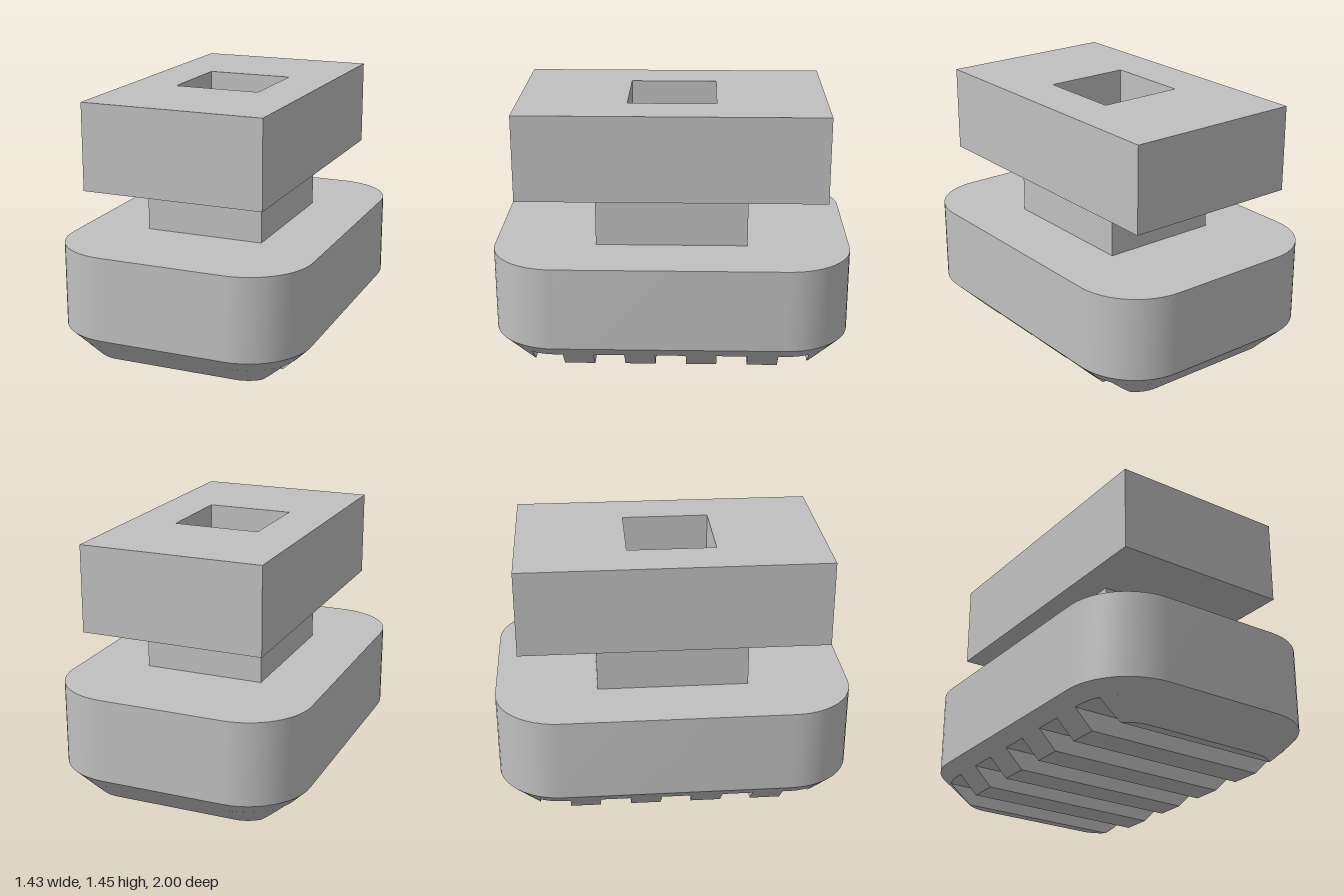
import * as THREE from 'three';
import { toCreasedNormals } from 'three/addons/utils/BufferGeometryUtils.js';

const HALF_X = 0.714, HALF_Z = 1, RADIUS = 0.36;
const CHAMFER_Y = 0.172, GROOVE_Y = 0.105, BODY_TOP = 0.645, NECK_TOP = 0.96, HEAD_TOP = 1.445;
const STEP = 0.1715; // width of one tooth or groove
const CX = HALF_X - RADIUS, CZ = HALF_Z - RADIUS;
const inset = (y) => Math.max(0, CHAMFER_Y - y); // 45 degree chamfer

// Joins convex horizontal rings of [x, z] points, listed from bottom to top
function loft(rings, heights) {
  const pos = [];
  const put = (r, i) => pos.push(rings[r][i][0], heights[r], rings[r][i][1]);
  const n = rings[0].length, last = rings.length - 1;
  for (let r = 0; r < last; r++) {
    for (let i = 0; i < n; i++) {
      const j = (i + 1) % n;
      put(r, i); put(r + 1, i); put(r, j);
      put(r, j); put(r + 1, i); put(r + 1, j);
    }
  }
  for (let i = 1; i < n - 1; i++) {
    put(0, 0); put(0, i); put(0, i + 1);
    put(last, 0); put(last, i + 1); put(last, i);
  }
  const geo = new THREE.BufferGeometry();
  geo.setAttribute('position', new THREE.Float32BufferAttribute(pos, 3));
  return toCreasedNormals(geo, Math.PI / 6);
}

// Arc around one corner of the rounded outline
function corner(sx, sz, radius, from, to, steps = 12) {
  return Array.from({ length: steps + 1 }, (_, i) => {
    const a = from + (to - from) * i / steps;
    return [sx * CX + radius * Math.cos(a), sz * CZ + radius * Math.sin(a)];
  });
}

function bodyRing(y) {
  const r = RADIUS - inset(y), q = Math.PI / 2;
  return [[1, 1], [-1, 1], [-1, -1], [1, -1]].flatMap(([sx, sz], k) => corner(sx, sz, r, k * q, (k + 1) * q));
}

// Part of the outline beyond the outermost groove
function endRing(y) {
  const r = RADIUS - inset(y), a = Math.asin((STEP * 4.5 - CZ) / r);
  return [...corner(1, 1, r, a, Math.PI / 2), ...corner(-1, 1, r, Math.PI / 2, Math.PI - a)];
}

function barRing(y, z0, z1) {
  const x = HALF_X - inset(y);
  return [[x, z0], [x, z1], [-x, z1], [-x, z0]];
}

// Rectangular block with the square socket cut through it
function socketBlock(hx, hz, y0, y1) {
  const rect = (Type, x, z) => new Type([[-x, -z], [x, -z], [x, z], [-x, z]].map((p) => new THREE.Vector2(...p)));
  const shape = rect(THREE.Shape, hx, hz);
  shape.holes.push(rect(THREE.Path, 0.246, 0.246));
  const geo = new THREE.ExtrudeGeometry(shape, { depth: y1 - y0, bevelEnabled: false });
  return geo.rotateX(-Math.PI / 2).translate(0, y0, 0);
}

export function createModel() {
  const group = new THREE.Group();
  const grey = new THREE.MeshStandardMaterial({ color: 0xc0c0c0 });
  grey.name = 'grey';
  const add = (name, geo) => {
    const mesh = new THREE.Mesh(geo, grey);
    mesh.name = name;
    group.add(mesh);
    return mesh;
  };

  // Rounded foot with the upper part of its chamfer
  const bodyY = [GROOVE_Y, CHAMFER_Y, BODY_TOP];
  add('body', loft(bodyY.map(bodyRing), bodyY));

  // Straight grip teeth
  const barY = [0, GROOVE_Y];
  for (const c of [-3, -1, 1, 3]) {
    const z0 = (c - 0.5) * STEP, z1 = (c + 0.5) * STEP;
    add('gripTooth', loft(barY.map((y) => barRing(y, z0, z1)), barY));
  }

  // Rounded teeth at both ends
  const endY = [0, GROOVE_Y / 3, GROOVE_Y * 2 / 3, GROOVE_Y];
  const endGeo = loft(endY.map(endRing), endY);
  add('frontTooth', endGeo);
  add('backTooth', endGeo).rotation.y = Math.PI;

  // Neck and head share the square socket
  add('neck', socketBlock(0.343, 0.428, BODY_TOP, NECK_TOP));
  add('head', socketBlock(0.514, 0.857, NECK_TOP, HEAD_TOP));
  return group;
}
